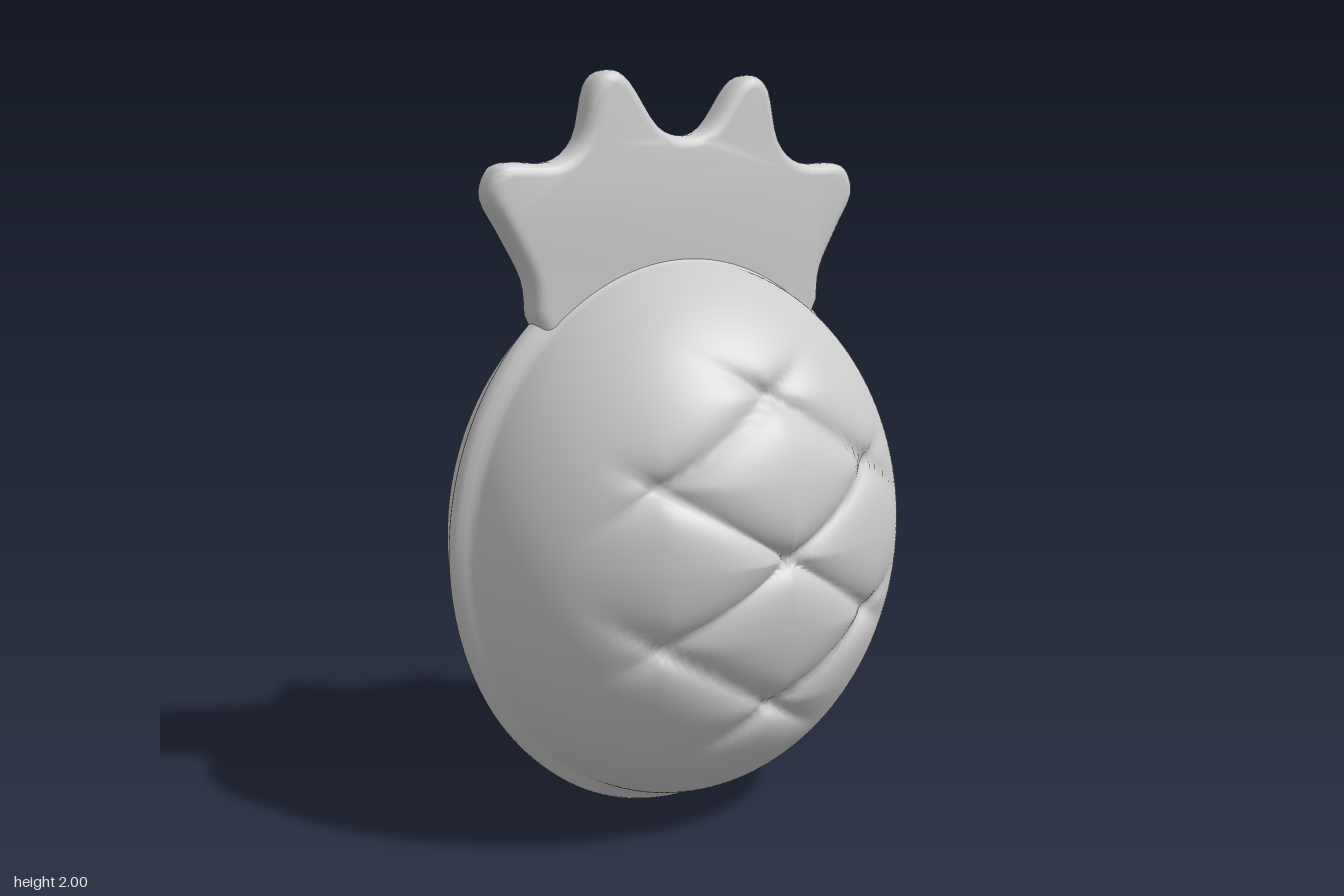
import * as THREE from 'three';
import { mergeVertices, toCreasedNormals } from 'three/addons/utils/BufferGeometryUtils.js';

const RX = 0.65, RY = 0.74, RZ = 0.53, CY = 0.777;

// Quilting: two families of diagonal creases with deep tucks where they cross
function quiltDepth(x, y) {
  const crease = (t) => Math.exp(-Math.abs(t - Math.round(t)) / 0.13);
  const a = crease((y - 0.8 - 0.62 * x) / 0.4);
  const b = crease((y - 0.8 + 0.62 * x) / 0.4);
  const r = Math.hypot(x / 0.54, (y - 0.79) / 0.62);
  const mask = 1 - THREE.MathUtils.smoothstep(r, 0.6, 1);
  return mask * (0.032 * Math.max(a, b) + 0.035 * a * b - 0.012);
}

// Fruit body: ellipsoid with a raised seam around its edge and quilted faces
function bodyGeometry() {
  let geo = new THREE.SphereGeometry(1, 160, 120);
  geo.rotateX(Math.PI / 2);
  geo.deleteAttribute('uv');
  geo.deleteAttribute('normal');
  geo = mergeVertices(geo, 1e-5);
  const p = geo.attributes.position;
  for (let i = 0; i < p.count; i++) {
    const z = p.getZ(i) * RZ;
    const seam = 1 + 0.05 * Math.exp(-Math.pow(z / 0.042, 4));
    const x = p.getX(i) * RX * seam;
    const y = p.getY(i) * RY * seam + CY;
    p.setXYZ(i, x, y, z - Math.sign(z) * quiltDepth(x, y));
  }
  geo.computeVertexNormals();
  return geo;
}

// Leaf crown: one flat, soft-edged slab with four rounded leaf tips
function crownGeometry() {
  const half = [
    [0.08, 1.865], [0.165, 1.975], [0.225, 2.0], [0.275, 1.96], [0.31, 1.83], [0.385, 1.772],
    [0.51, 1.77], [0.555, 1.745], [0.57, 1.68], [0.52, 1.59], [0.462, 1.48], [0.452, 1.39],
  ];
  const v = ([x, y], s) => new THREE.Vector2(s * x, y);
  const points = [
    ...half.slice().reverse().map((q) => v(q, -1)),
    new THREE.Vector2(0, 1.84),
    ...half.map((q) => v(q, 1)),
  ];
  const outline = new THREE.SplineCurve(points).getPoints(96);
  const shape = new THREE.Shape([...outline, new THREE.Vector2(0.36, 1.2), new THREE.Vector2(-0.36, 1.2)]);
  const geo = new THREE.ExtrudeGeometry(shape, {
    depth: 0.03, bevelThickness: 0.035, bevelSize: 0.035, bevelOffset: -0.035, bevelSegments: 5,
  });
  geo.translate(0, 0, -0.015);
  return toCreasedNormals(geo, 0.9);
}

export function createModel() {
  const model = new THREE.Group();
  model.name = 'pineapple';
  const material = new THREE.MeshStandardMaterial({ color: 0xcccccc });
  const add = (name, geo) => {
    const mesh = new THREE.Mesh(geo, material);
    mesh.name = name;
    mesh.rotation.y = -0.065; // the whole fruit is turned slightly
    model.add(mesh);
  };
  add('quiltedBody', bodyGeometry());
  add('leafCrown', crownGeometry());
  return model;
}
